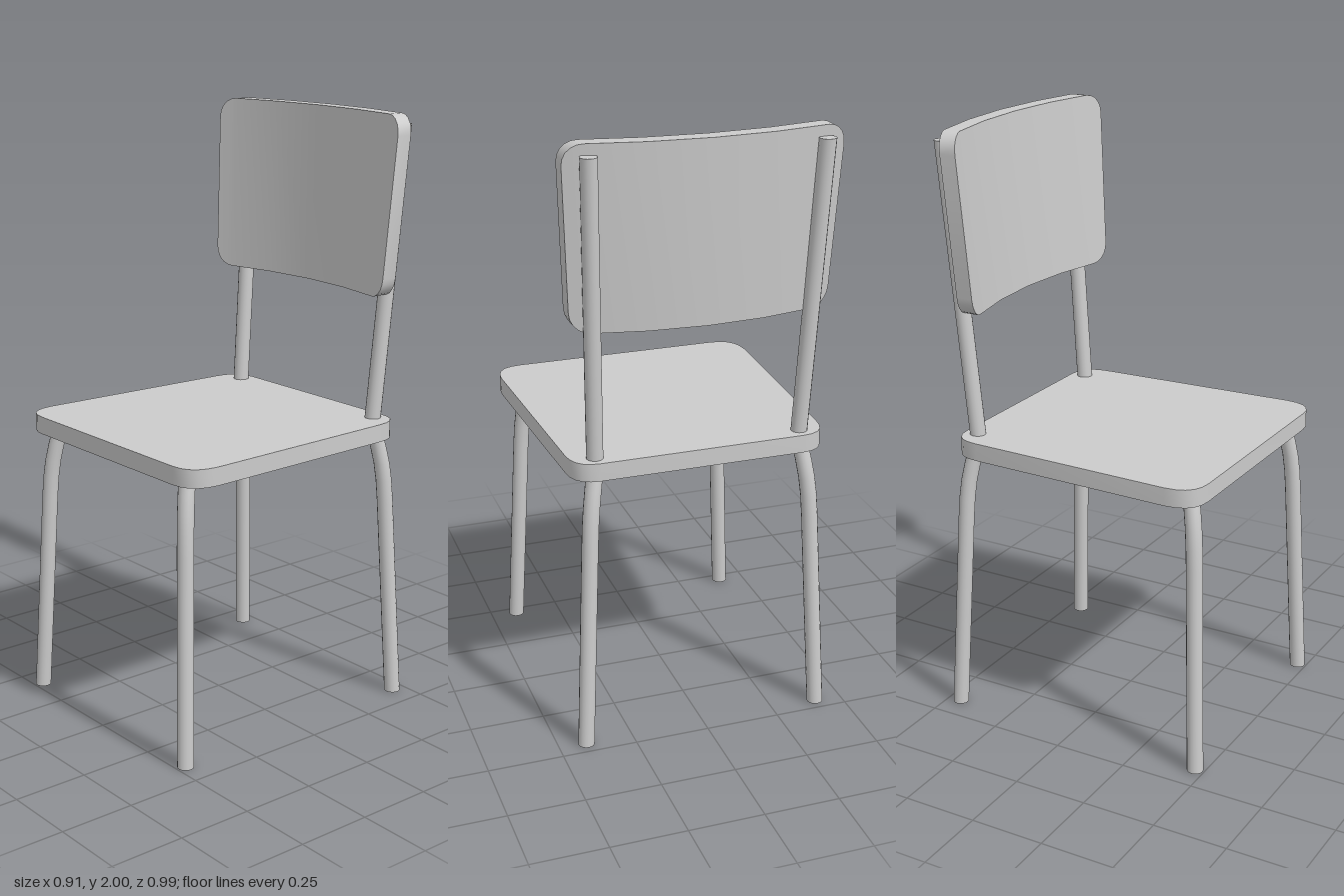
import * as THREE from 'three';
import { toCreasedNormals } from 'three/addons/utils/BufferGeometryUtils.js';

const material = new THREE.MeshStandardMaterial({ color: 0xcccccc });

function part(name, geometry) {
  const mesh = new THREE.Mesh(toCreasedNormals(geometry, 0.7), material);
  mesh.name = name;
  return mesh;
}

// Round rod whose level rings are centred on the given points, listed top first
function rod(points, radius = 0.027) {
  const n = points.length - 1;
  const geometry = new THREE.CylinderGeometry(radius, radius, 1, 16, n);
  const pos = geometry.attributes.position;
  for (let i = 0; i < pos.count; i++) {
    const [x, y, z] = points[Math.round((0.5 - pos.getY(i)) * n)];
    pos.setXYZ(i, pos.getX(i) + x, y, pos.getZ(i) + z);
  }
  return geometry;
}

// Tapered seat board with rounded corners, drawn in x and -z
function seatGeometry() {
  const s = new THREE.Shape();
  s.moveTo(-0.36, -0.475);
  s.lineTo(0.36, -0.475);
  s.quadraticCurveTo(0.455, -0.475, 0.455, -0.37);
  s.lineTo(0.428, 0.34);
  s.quadraticCurveTo(0.425, 0.435, 0.34, 0.435);
  s.lineTo(-0.34, 0.435);
  s.quadraticCurveTo(-0.425, 0.435, -0.428, 0.34);
  s.lineTo(-0.455, -0.37);
  s.quadraticCurveTo(-0.455, -0.475, -0.36, -0.475);
  const geometry = new THREE.ExtrudeGeometry(s, { depth: 0.06, bevelEnabled: false, curveSegments: 5 });
  return geometry.rotateX(-Math.PI / 2).translate(0, 0.93, 0);
}

// Bowed, tilted, tapered back panel with rounded corners, built column by column
function backrestGeometry() {
  const bottom = 1.41, top = 2, radius = 0.065, thickness = 0.058, width = 0.447;
  const half = [];
  for (let i = 0; i <= 5; i++) {
    const a = (i / 5) * Math.PI / 2;
    half.push([width - radius * (1 - Math.cos(a)), radius * (1 - Math.sin(a))]);
  }
  half.push([0.2, 0]);
  const columns = [
    ...half.map(([x, inset]) => [-x, inset]), [0, 0],
    ...half.slice().reverse(),
  ];
  const vertices = [], index = [];
  columns.forEach(([x, inset], c) => {
    const corner = (y, depth) => {
      const k = (top - y) / (top - bottom);
      const z = -0.437 + 0.064 * (x / width) ** 2 + 0.038 * k - depth;
      vertices.push(x * (1 - 0.06 * k), y, z);
    };
    corner(bottom + inset, 0);
    corner(top - inset, 0);
    corner(top - inset, thickness);
    corner(bottom + inset, thickness);
    if (c === 0) return;
    for (let j = 0; j < 4; j++) {
      const a = (c - 1) * 4 + j, b = (c - 1) * 4 + (j + 1) % 4;
      index.push(a, a + 4, b, b, a + 4, b + 4);
    }
  });
  // End strips
  const e = (columns.length - 1) * 4;
  index.push(0, 1, 2, 0, 2, 3, e, e + 2, e + 1, e, e + 3, e + 2);
  const geometry = new THREE.BufferGeometry();
  geometry.setAttribute('position', new THREE.Float32BufferAttribute(vertices, 3));
  geometry.setIndex(index);
  return geometry;
}

export function createModel() {
  const model = new THREE.Group();
  model.name = 'chair';
  model.add(part('seat', seatGeometry()), part('backrest', backrestGeometry()));

  // Splayed legs that bend inward under the seat
  const leg = [
    [0.348, 0.94, 0.4], [0.357, 0.89, 0.411], [0.366, 0.83, 0.421],
    [0.372, 0.77, 0.427], [0.376, 0.7, 0.431], [0.408, 0, 0.46],
  ];
  for (const [side, sx] of [['left', 1], ['right', -1]]) {
    for (const [end, sz] of [['Front', 1], ['Back', -1]]) {
      const path = leg.map(([x, y, z]) => [sx * x, y, sz * z + 0.008]);
      model.add(part(`${side}${end}Leg`, rod(path)));
    }
    // Post carrying the backrest
    model.add(part(`${side}BackPost`, rod([[sx * 0.373, 1.965, -0.465], [sx * 0.344, 0.96, -0.384]])));
  }
  return model;
}
